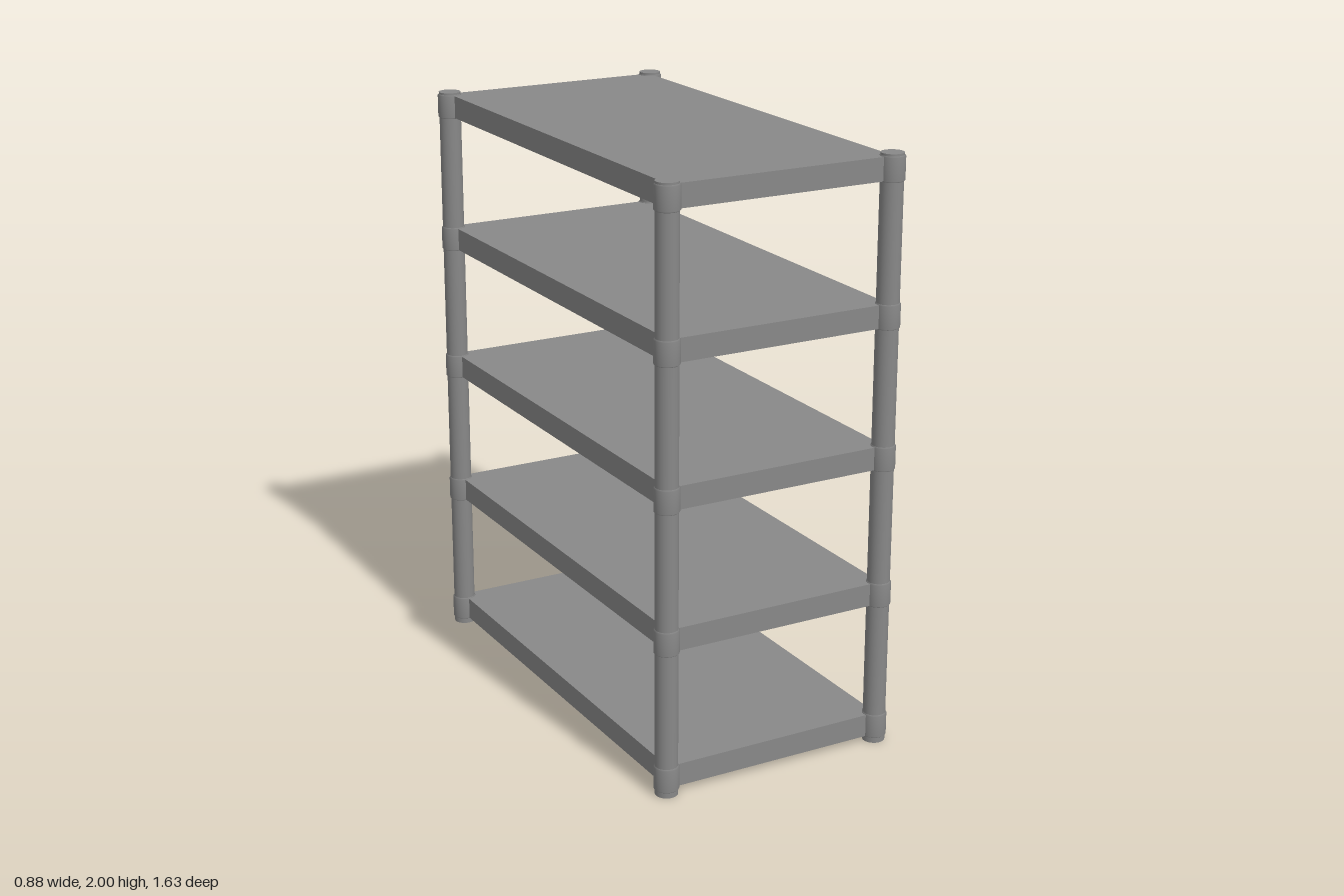
import * as THREE from 'three';

export function createModel() {
  const model = new THREE.Group();
  model.name = 'shelvingRack';
  const grey = new THREE.MeshStandardMaterial({ color: 0x888888 });
  grey.name = 'grey';

  const postX = 0.397, postZ = 0.776, postRadius = 0.0375, collarRadius = 0.0415;
  const thickness = 0.077;
  const shelfHeights = [0, 1, 2, 3, 4].map(i => 0.0595 + i * 0.473); // shelf centres

  function add(name, geometry, x, y, z) {
    const mesh = new THREE.Mesh(geometry, grey);
    mesh.name = name;
    mesh.position.set(x, y, z);
    model.add(mesh);
  }

  // Solid shelves, with corners ending inside the posts
  const shelfGeometry = new THREE.BoxGeometry(postX * 2, thickness, 1.574);
  for (const y of shelfHeights) add('shelf', shelfGeometry, 0, y, 0);

  // Round posts with a slightly wider chamfered collar at every shelf
  const postGeometry = new THREE.CylinderGeometry(postRadius, postRadius, 2, 32);
  const half = thickness / 2 + 0.005, chamfer = 0.006;
  const profile = [
    [postRadius - 0.002, -half], [collarRadius, -half + chamfer],
    [collarRadius, half - chamfer], [postRadius - 0.002, half],
  ].map(([r, y]) => new THREE.Vector2(r, y));
  const collarGeometry = new THREE.LatheGeometry(profile, 32);

  for (const sx of [-1, 1]) {
    for (const sz of [-1, 1]) {
      add('post', postGeometry, sx * postX, 1, sz * postZ);
      for (const y of shelfHeights) add('collar', collarGeometry, sx * postX, y, sz * postZ);
    }
  }
  return model;
}
